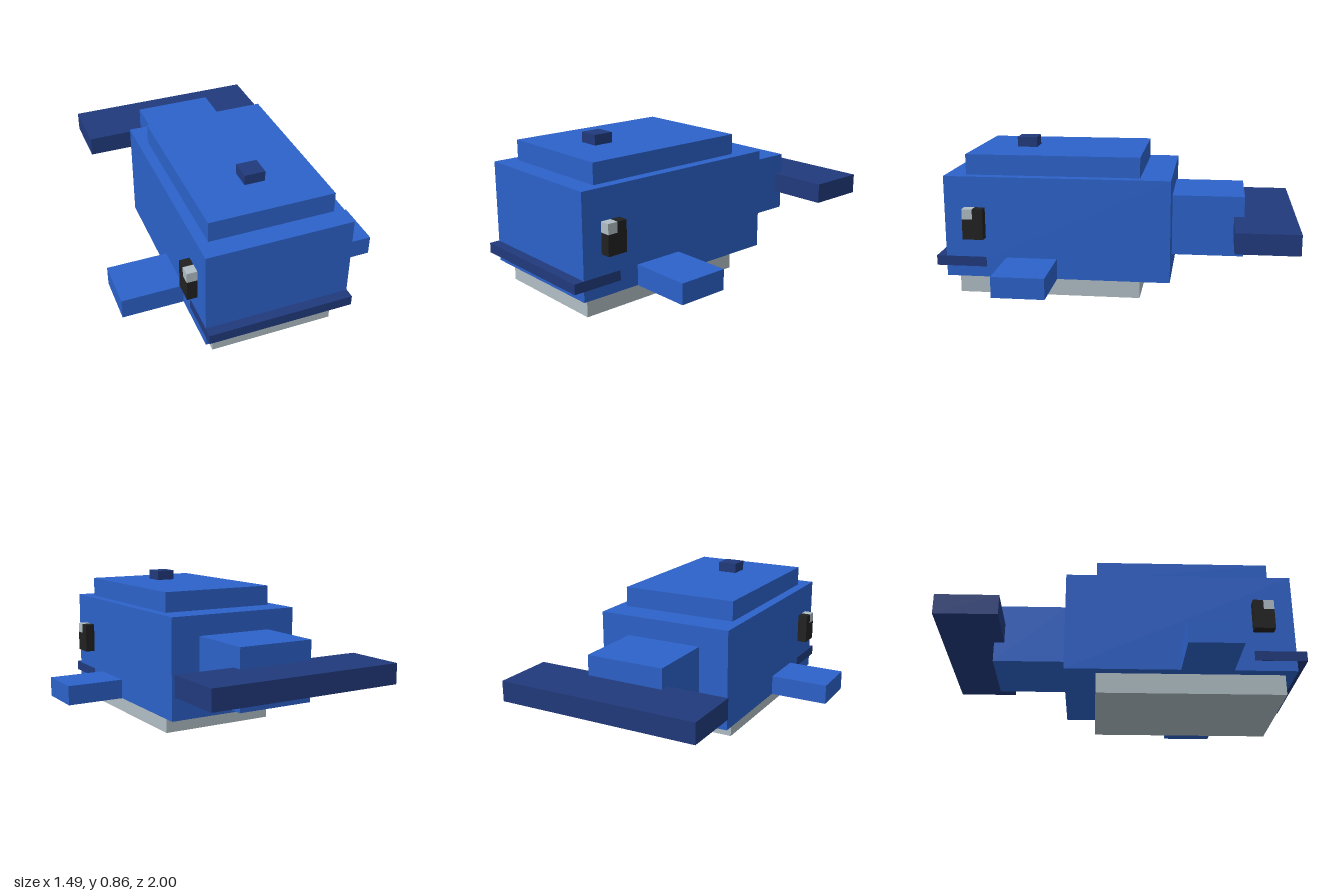
import * as THREE from 'three';

const colour = (name, hex) => {
  const m = new THREE.MeshStandardMaterial({ color: hex });
  m.name = name;
  return m;
};

export function createModel() {
  const blue = colour('blue', 0x2c62c9);
  const navy = colour('navy', 0x213a7d);
  const grey = colour('pale grey', 0xb0bec5);
  const black = colour('black', 0x212121);
  const whale = new THREE.Group();
  whale.name = 'whale';

  // A box given by its extents along each axis
  const block = (name, material, [x0, x1], [y0, y1], [z0, z1], parent = whale) => {
    const mesh = new THREE.Mesh(new THREE.BoxGeometry(x1 - x0, y1 - y0, z1 - z0), material);
    mesh.position.set((x0 + x1) / 2, (y0 + y1) / 2, (z0 + z1) / 2);
    mesh.name = name;
    parent.add(mesh);
  };

  // Body, back and belly
  block('body', blue, [-0.4, 0.4], [0.114, 0.686], [-0.314, 0.943]);
  block('back', blue, [-0.343, 0.343], [0.686, 0.8], [-0.143, 0.829]);
  block('belly', grey, [-0.343, 0.343], [0, 0.114], [-0.143, 0.886]);
  block('blowhole', navy, [-0.057, 0.057], [0.8, 0.857], [0.486, 0.6]);

  // Mouth wraps round the front, just proud of the sides
  block('mouth', navy, [-0.402, 0.402], [0.173, 0.229], [0.714, 1]);

  // Tail
  block('tailStem', blue, [-0.226, 0.226], [0.229, 0.571], [-0.714, -0.314]);
  block('tailFluke', navy, [-0.571, 0.571], [0.343, 0.457], [-1, -0.657]);

  // Fins and eyes on both sides
  for (const [side, s] of [['left', 1], ['right', -1]]) {
    const span = (a, b) => (s > 0 ? [a, b] : [-b, -a]);
    block(side + 'Fin', blue, span(0.4, 0.743), [0.114, 0.229], [0.314, 0.6]);

    const eye = new THREE.Group();
    eye.name = side + 'Eye';
    whale.add(eye);
    const x = span(0.4, 0.457);
    block('eyeLower', black, x, [0.343, 0.457], [0.714, 0.829], eye);
    block('eyeUpper', black, x, [0.457, 0.514], [0.714, 0.771], eye);
    block('eyeHighlight', grey, x, [0.457, 0.514], [0.771, 0.829], eye);
  }
  return whale;
}
